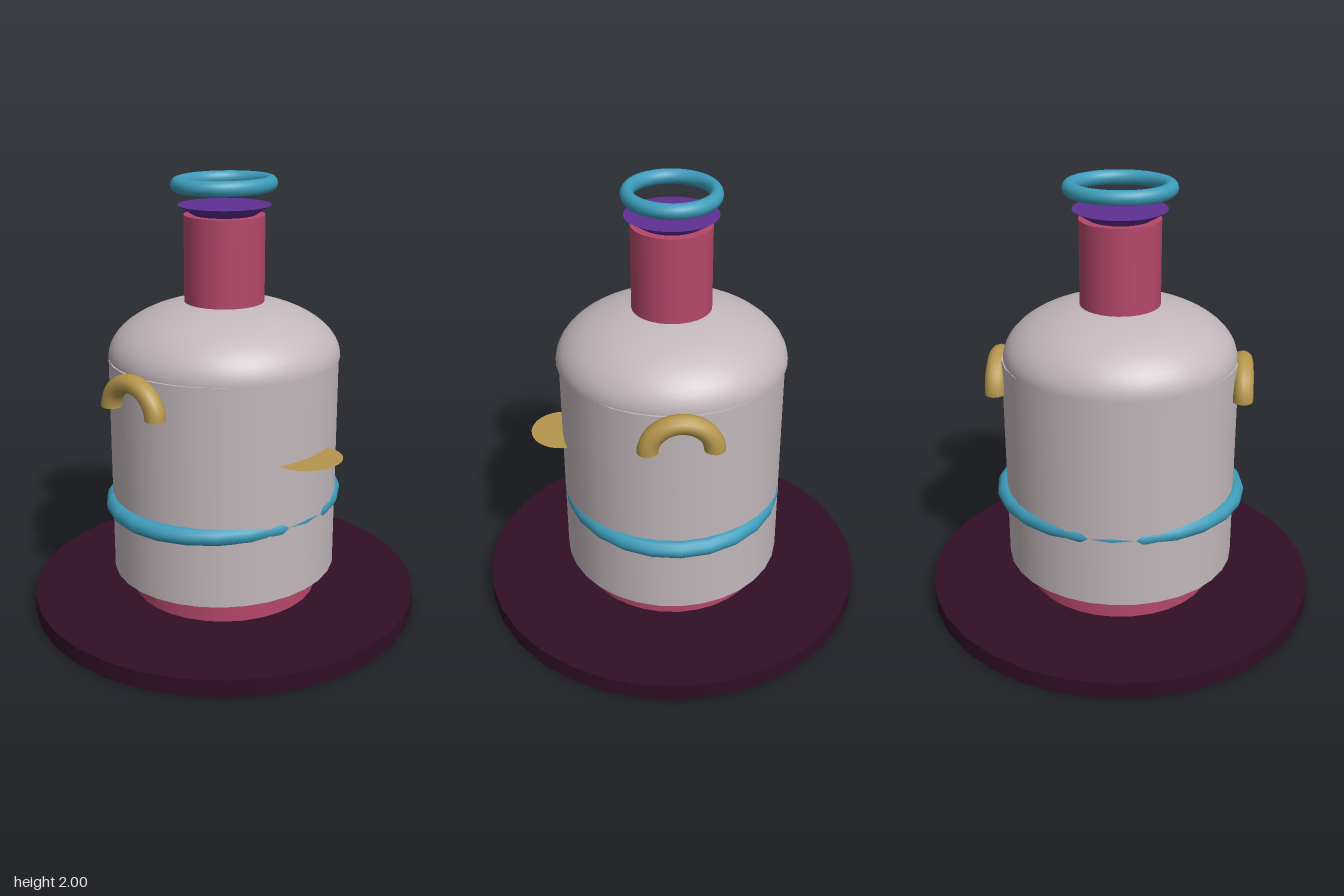
import * as THREE from 'three';

const mat = (name, color, extra = {}) => {
  const m = new THREE.MeshStandardMaterial({ color, ...extra });
  m.name = name;
  return m;
};

export function createModel() {
  const group = new THREE.Group();
  const plum = mat('dark plum', 0x300f26);
  const rose = mat('rose', 0xb5476a);
  const stone = mat('warm grey', 0xc2b7bb);
  const teal = mat('teal', 0x3d9dbb);
  const gold = mat('gold', 0xb5964c, { side: THREE.DoubleSide });
  const purple = mat('purple', 0x5f2f94);

  const add = (name, geometry, material, y = 0) => {
    const mesh = new THREE.Mesh(geometry, material);
    mesh.name = name;
    mesh.position.y = y;
    group.add(mesh);
    return mesh;
  };

  // Upright oval cylinder from y0 to y1
  const drum = (name, material, rx, rz, y0, y1, bottom = 1) =>
    add(name, new THREE.CylinderGeometry(1, bottom, y1 - y0, 32).scale(rx, 1, rz),
      material, (y0 + y1) / 2);

  // Horizontal oval ring; depth squashes it along z
  const ring = (name, radius, tube, depth, y, segments) =>
    add(name, new THREE.TorusGeometry(radius, tube, 12, segments)
      .rotateX(Math.PI / 2).rotateY(Math.PI / 2).scale(1, 1, depth), teal, y);

  // Base, foot, body and neck
  drum('base', plum, 0.91, 0.896, 0, 0.08);
  drum('foot', rose, 0.438, 0.43, 0.08, 0.2);
  drum('body', stone, 0.535, 0.508, 0.2, 1.205);
  drum('neck', rose, 0.18, 0.178, 1.4, 1.835);

  // Domed shoulder with a closed underside
  add('shoulder', new THREE.SphereGeometry(1, 48, 16, 0, Math.PI * 2, 0, Math.PI / 2)
    .scale(0.527, 0.26, 0.52), stone, 1.207);
  add('shoulderUnderside', new THREE.CircleGeometry(1, 48)
    .rotateX(Math.PI / 2).scale(0.527, 1, 0.52), stone, 1.207);

  // Flared stopper set into the neck
  drum('stopper', purple, 0.208, 0.205, 1.8, 1.877, 0.4);

  // Floating top ring and the band around the body
  ring('topRing', 0.216, 0.033, 0.87, 1.967, 48);
  ring('bodyBand', 0.545, 0.04, 0.872, 0.535, 24);

  // Arched handles on both sides
  for (const side of [1, -1]) {
    const handle = add(side > 0 ? 'leftHandle' : 'rightHandle',
      new THREE.TorusGeometry(0.14, 0.046, 12, 24, Math.PI)
        .rotateY(Math.PI / 2).scale(1, 0.91, 1), gold, 1.055);
    handle.position.x = side * 0.553;
  }

  // Thin front ledge
  const ledge = add('frontLedge', new THREE.CircleGeometry(0.16, 32)
    .rotateX(-Math.PI / 2).scale(1, 1, 0.88), gold, 0.835);
  ledge.position.z = 0.51;

  return group;
}
